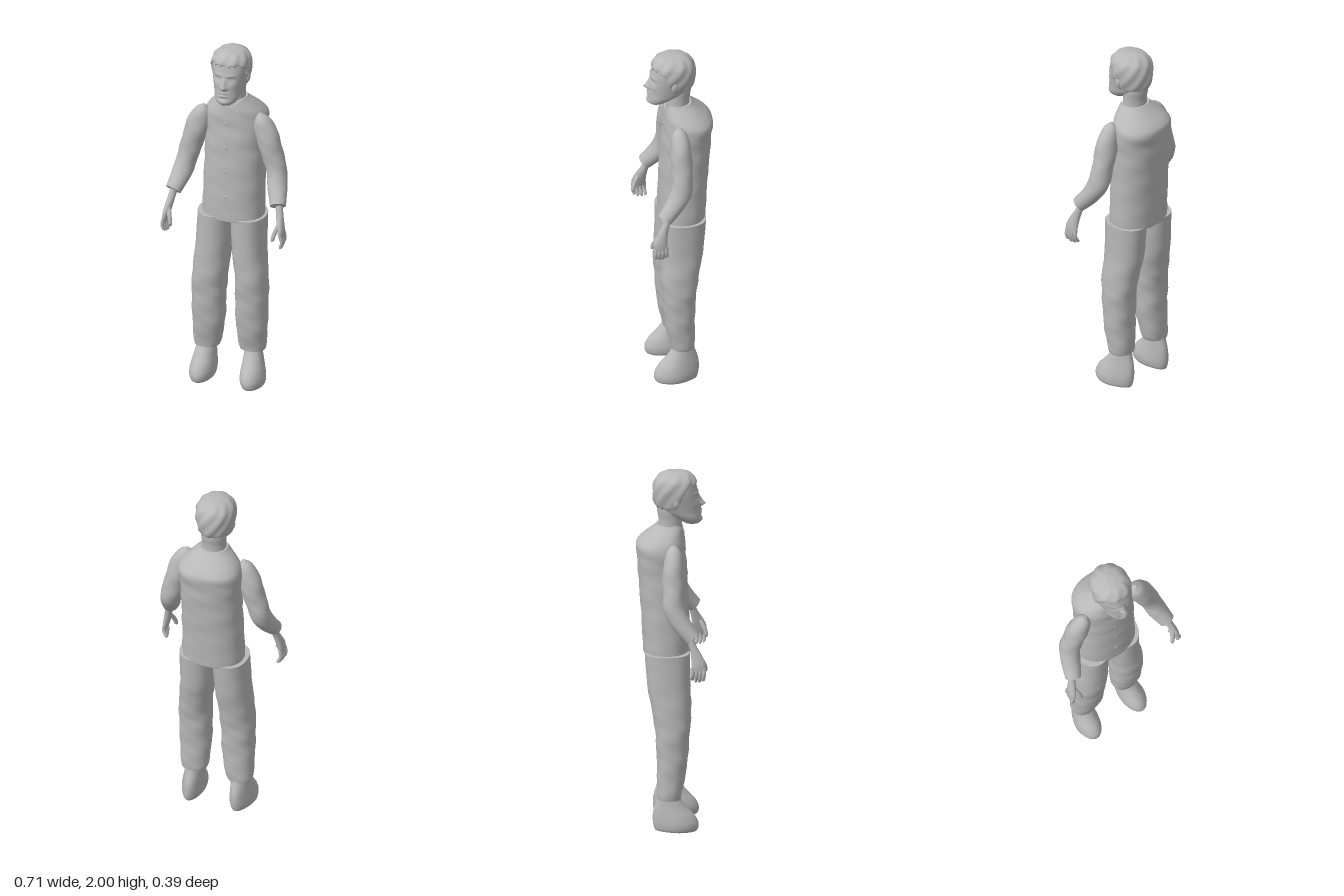
import * as THREE from 'three';

const clay = new THREE.MeshStandardMaterial({ color: 0xb8b8b8 });
clay.name = 'plain grey';
const MID = 0.01; // mirror line of the body

// Smooth interpolation through a list of rows, t from 0 to 1
function sample(rows, t) {
  const f = t * (rows.length - 1);
  const i = Math.min(Math.floor(f), rows.length - 2);
  const u = f - i;
  const at = (k) => rows[Math.max(0, Math.min(rows.length - 1, k))];
  const [a, b, c, d] = [at(i - 1), at(i), at(i + 1), at(i + 2)];
  return b.map((_, k) => b[k] + 0.5 * u * (c[k] - a[k]
    + u * (2 * a[k] - 5 * b[k] + 4 * c[k] - d[k] + u * (3 * (b[k] - c[k]) + d[k] - a[k]))));
}

// Closed skin over rows [x, y, z, rx, rz], listed from top to bottom
function loft(name, rows, { tilt = false, n = 2, segs = 32, steps = 6, tweak } = {}) {
  const count = (rows.length - 1) * steps;
  const pos = [], idx = [];
  const X = new THREE.Vector3(1, 0, 0);
  const ring = (t) => {
    const [x, y, z, rx, rz] = sample(rows, t);
    const U = X.clone(), W = new THREE.Vector3(0, 0, 1);
    if (tilt) {
      const p = sample(rows, Math.max(0, t - 0.02)), q = sample(rows, Math.min(1, t + 0.02));
      const T = new THREE.Vector3(q[0] - p[0], q[1] - p[1], q[2] - p[2]).normalize();
      U.addScaledVector(T, -T.x).normalize();
      W.crossVectors(T, U);
    }
    for (let j = 0; j < segs; j++) {
      const a = (j / segs) * Math.PI * 2;
      const pw = (v) => Math.sign(v) * Math.abs(v) ** (2 / n);
      const p = new THREE.Vector3(x, y, z)
        .addScaledVector(U, pw(Math.cos(a)) * Math.max(rx, 0.001))
        .addScaledVector(W, pw(Math.sin(a)) * Math.max(rz, 0.001));
      if (tweak) tweak(p, a, t, z);
      pos.push(p.x, p.y, p.z);
    }
  };
  for (let i = 0; i <= count; i++) ring(i / count);
  for (let i = 0; i < count; i++) for (let j = 0; j < segs; j++) {
    const k = (j + 1) % segs, a = i * segs, b = a + segs;
    idx.push(a + j, a + k, b + j, a + k, b + k, b + j);
  }
  // End caps with their own rings keep cuffs and hems crisp
  for (const end of [0, 1]) {
    const s = pos.length / 3;
    ring(end);
    const c = [0, 0, 0];
    for (let j = 0; j < segs; j++) for (let k = 0; k < 3; k++) c[k] += pos[(s + j) * 3 + k] / segs;
    pos.push(...c);
    for (let j = 0; j < segs; j++) {
      const k = (j + 1) % segs;
      idx.push(s + segs, s + (end ? j : k), s + (end ? k : j));
    }
  }
  const g = new THREE.BufferGeometry();
  g.setAttribute('position', new THREE.Float32BufferAttribute(pos, 3));
  g.setIndex(idx);
  g.computeVertexNormals();
  const mesh = new THREE.Mesh(g, clay);
  mesh.name = name;
  return mesh;
}

// Row from centre x, height, half width, front z and back z
const span = ([x, y, hw, zf, zb]) => [x, y, (zf + zb) / 2, hw, (zf - zb) / 2];

function ellipsoid(name, x, y, z, rx, ry, rz) {
  const m = new THREE.Mesh(new THREE.SphereGeometry(1, 16, 12), clay);
  m.name = name;
  m.position.set(x, y, z);
  m.scale.set(rx, ry, rz);
  return m;
}

// Soft folds in cloth
function folds(size) {
  return (p, a, t) => {
    const d = size * (Math.sin(p.y * 38 + 2 * a) + 0.6 * Math.sin(p.y * 67 - 3 * a + 1)) * Math.sin(Math.PI * t);
    p.x += d * Math.cos(a);
    p.z += d * Math.sin(a);
  };
}

function makeTorso() {
  const wrinkle = folds(0.0018);
  return loft('shirt', [
    [MID, 1.703, 0.078, 0.062, -0.082], [MID, 1.69, 0.088, 0.066, -0.095],
    [MID, 1.655, 0.126, 0.068, -0.135], [0.011, 1.618, 0.16, 0.07, -0.175],
    [0.012, 1.58, 0.174, 0.073, -0.196], [0.012, 1.5, 0.17, 0.079, -0.188],
    [0.009, 1.35, 0.168, 0.088, -0.178], [0.006, 1.17, 0.17, 0.096, -0.165],
    [0.005, 1.0, 0.172, 0.1, -0.157], [0.005, 0.985, 0.168, 0.098, -0.153],
  ].map(span), {
    n: 2.25, segs: 56, steps: 6,
    tweak(p, a, t) {
      wrinkle(p, a, t);
      // Open neckline dips at the front
      if (t < 0.3) p.y -= 0.045 * (1 - t / 0.3) * Math.max(0, Math.sin(a)) ** 8;
    },
  });
}

// Skull shape with facial relief; grow(p) returns an outward offset
function headShell(name, grow) {
  return loft(name, [
    [MID, 2.0, 0.02, 0.06, -0.015], [MID, 1.988, 0.066, 0.098, -0.055],
    [MID, 1.96, 0.092, 0.122, -0.082], [MID, 1.92, 0.102, 0.134, -0.096],
    [MID, 1.87, 0.099, 0.144, -0.099], [MID, 1.82, 0.089, 0.152, -0.09],
    [MID, 1.78, 0.08, 0.157, -0.062], [MID, 1.75, 0.071, 0.16, 0.0],
    [MID, 1.725, 0.056, 0.161, 0.045], [MID, 1.708, 0.034, 0.148, 0.07],
  ].map(span), {
    n: 2.15, segs: 80, steps: 8,
    tweak(p, a, t, cz) {
      const x = Math.abs(p.x - MID), y = p.y;
      const bump = (bx, by, sx, sy, h) => h * Math.exp(-(((x - bx) / sx) ** 2) - ((y - by) / sy) ** 2);
      if (p.z > cz) {
        p.z += bump(0, 1.817, 0.013, 0.014, 0.027) + bump(0, 1.842, 0.01, 0.022, 0.014)
          + bump(0.014, 1.813, 0.008, 0.008, 0.008) + bump(0.036, 1.882, 0.026, 0.009, 0.006)
          + bump(0.036, 1.86, 0.017, 0.011, -0.012) + bump(0.036, 1.859, 0.011, 0.006, 0.008)
          + bump(0, 1.783, 0.022, 0.006, 0.007) + bump(0, 1.775, 0.026, 0.003, -0.005)
          + bump(0, 1.767, 0.018, 0.006, 0.007) + bump(0, 1.752, 0.022, 0.007, -0.005)
          + bump(0, 1.73, 0.022, 0.013, 0.006) + bump(0.05, 1.825, 0.02, 0.016, 0.004);
      }
      const d = grow(p, a);
      p.x += d * Math.cos(a);
      p.z += d * Math.sin(a);
    },
  });
}

function makeHead() {
  const head = new THREE.Group();
  head.name = 'head';
  head.add(headShell('face', () => 0));
  // Hair stands proud above a hairline that drops towards the nape
  head.add(headShell('hair', (p, a) => {
    const fringe = THREE.MathUtils.smoothstep(p.z, 0.02, 0.1);
    const line = 1.8 + 0.13 * fringe + 0.005 * Math.sin(a * 17);
    const k = THREE.MathUtils.smoothstep(p.y, line - 0.006, line + 0.006);
    return -0.016 + k * (0.022 + 0.003 * Math.sin(a * 9 + p.y * 60))
      - 0.006 * THREE.MathUtils.smoothstep(p.y, 1.95, 2.0) * k;
  }));
  head.add(loft('neck', [
    [MID, 1.84, 0.07, 0.04, -0.08], [MID, 1.78, 0.07, 0.05, -0.08],
    [MID, 1.73, 0.067, 0.055, -0.073], [MID, 1.64, 0.07, 0.058, -0.075],
  ].map(span)));
  for (const s of [-1, 1]) head.add(ellipsoid('ear', MID + s * 0.097, 1.845, 0.025, 0.011, 0.03, 0.018));
  return head;
}

function makeArm(s) {
  const arm = new THREE.Group();
  arm.name = s > 0 ? 'leftArm' : 'rightArm';
  const side = (rows) => rows.map(([x, ...r]) => [MID + s * x, ...r]);
  arm.add(loft('sleeve', side([
    [0.16, 1.625, 0.012, 0.012, 0.012], [0.172, 1.585, 0.012, 0.046, 0.042],
    [0.2, 1.5, 0.01, 0.064, 0.057], [0.232, 1.39, 0.01, 0.06, 0.058],
    [0.259, 1.29, 0.016, 0.057, 0.058], [0.276, 1.215, 0.054, 0.054, 0.052],
    [0.302, 1.137, 0.118, 0.044, 0.042],
  ]), { tilt: true, tweak: folds(0.0015) }));
  arm.add(loft('palm', side([
    [0.296, 1.17, 0.09, 0.022, 0.022], [0.31, 1.1, 0.115, 0.02, 0.02],
    [0.322, 1.045, 0.135, 0.02, 0.03], [0.332, 1.0, 0.147, 0.018, 0.039],
    [0.337, 0.965, 0.147, 0.013, 0.037],
  ]), { tilt: true, segs: 20 }));
  const finger = (name, a, b, c, r) => arm.add(loft(name, side([
    [...a, r, r], [...b, r, r], [...c, r * 0.85, r * 0.85],
    [c[0], c[1] - 0.006, c[2], r * 0.3, r * 0.3],
  ]), { tilt: true, segs: 10, steps: 3 }));
  for (let k = 0; k < 4; k++) {
    const z = 0.176 - k * 0.02;
    finger('finger', [0.336, 0.985, z], [0.345 - k * 0.002, 0.945, z],
      [0.335 - k * 0.004, 0.905 + 0.007 * Math.abs(k - 1.5), z - 0.004], 0.0105);
  }
  finger('thumb', [0.318, 1.045, 0.148], [0.303, 1.0, 0.175], [0.294, 0.962, 0.186], 0.0125);
  return arm;
}

function makeLeg(name, trouser, ankleX, footX) {
  const leg = new THREE.Group();
  leg.name = name;
  leg.add(loft('trouserLeg', trouser.map(span), { segs: 36, n: 2.2, tweak: folds(0.0018) }));
  const shoe = [
    [0.215, 0.05, 0.03, -0.072], [0.17, 0.055, 0.052, -0.083], [0.125, 0.06, 0.088, -0.097],
    [0.085, 0.066, 0.125, -0.103], [0.045, 0.07, 0.145, -0.102], [0.014, 0.066, 0.144, -0.096],
    [0, 0.058, 0.136, -0.09],
  ];
  leg.add(loft('shoe', shoe.map(([y, ...r]) =>
    span([THREE.MathUtils.lerp(footX, ankleX, y / 0.215), y, ...r])), {
    // Heel is narrower than the toes and turned slightly inwards
    tweak(p) {
      const heel = THREE.MathUtils.smoothstep(-p.z, -0.06, 0.1);
      p.x = footX + (p.x - footX) * (1 - 0.18 * heel) - Math.sign(footX) * 0.01 * heel;
    },
  }));
  return leg;
}

export function createModel() {
  const model = new THREE.Group();
  model.name = 'standingMan';
  model.add(makeTorso(), makeHead(), makeArm(1), makeArm(-1));
  // Shirt buttons
  [[1.56, 0.074], [1.42, 0.084], [1.28, 0.092], [1.13, 0.098]].forEach(([y, z]) =>
    model.add(ellipsoid('button', MID - 0.01, y, z, 0.009, 0.009, 0.004)));
  model.add(makeLeg('rightLeg', [
    [-0.095, 0.995, 0.096, 0.098, -0.147], [-0.104, 0.8, 0.097, 0.1, -0.131],
    [-0.118, 0.63, 0.097, 0.104, -0.1], [-0.126, 0.5, 0.094, 0.094, -0.086],
    [-0.128, 0.35, 0.09, 0.082, -0.08], [-0.138, 0.22, 0.078, 0.057, -0.08],
    [-0.142, 0.18, 0.069, 0.05, -0.076],
  ], -0.15, -0.153));
  model.add(makeLeg('leftLeg', [
    [0.097, 0.995, 0.096, 0.098, -0.147], [0.1, 0.8, 0.092, 0.1, -0.131],
    [0.119, 0.63, 0.089, 0.104, -0.1], [0.12, 0.5, 0.09, 0.094, -0.086],
    [0.119, 0.35, 0.086, 0.082, -0.08], [0.119, 0.23, 0.077, 0.057, -0.08],
    [0.12, 0.195, 0.07, 0.05, -0.076],
  ], 0.124, 0.142));
  return model;
}
